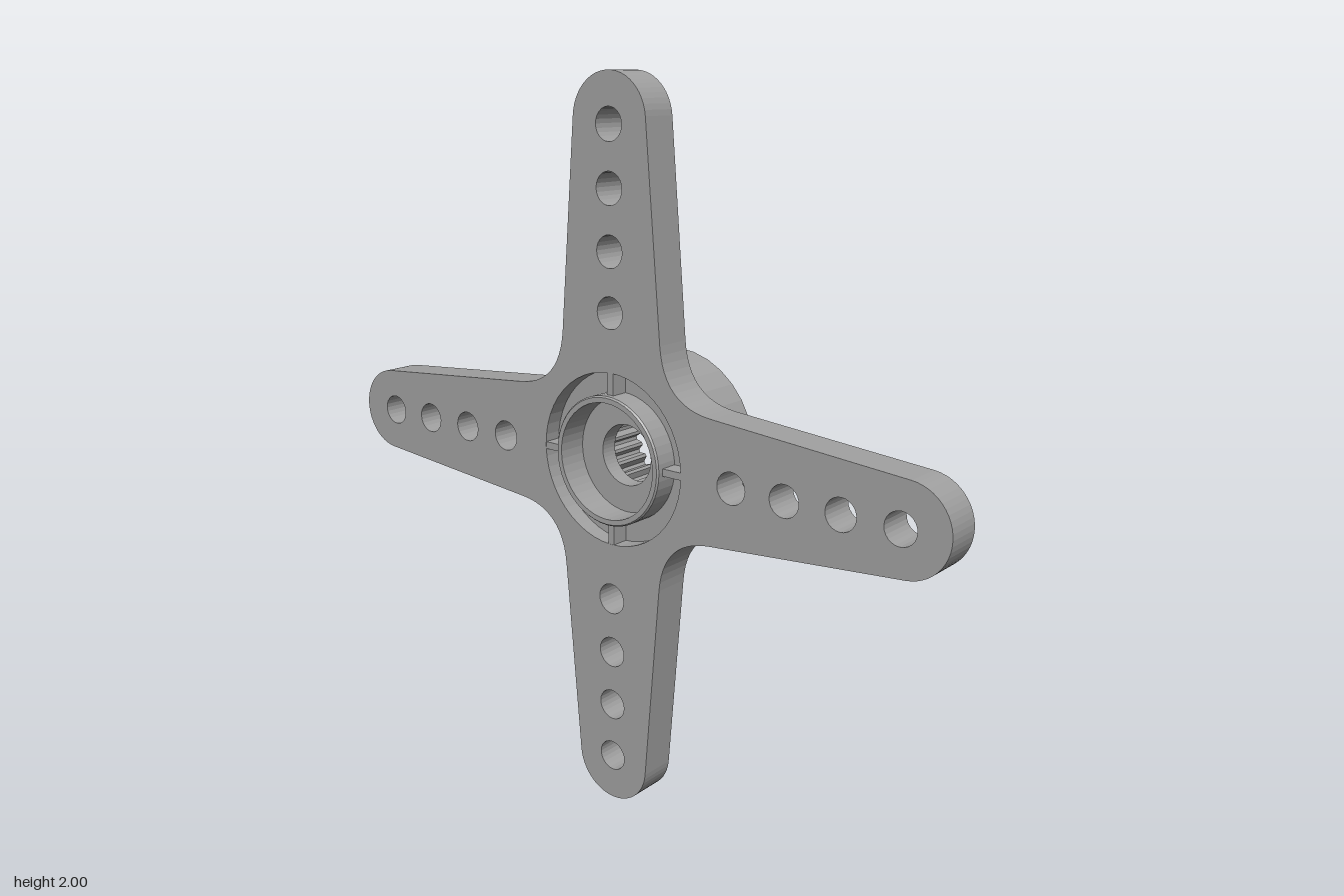
import * as THREE from 'three';

const ARMS = 4;

// Closed ring of points; radius may vary with the point index
function ring(count, radius) {
  return Array.from({ length: count }, (_, i) => {
    const a = (i / count) * Math.PI * 2;
    const r = typeof radius === 'function' ? radius(i) : radius;
    return new THREE.Vector2(Math.cos(a) * r, Math.sin(a) * r);
  });
}

function extrude(shape, zBack, zFront) {
  const g = new THREE.ExtrudeGeometry(shape, { depth: zFront - zBack, bevelEnabled: false, curveSegments: 8 });
  return g.translate(0, 0, zBack);
}

// Turned part about the z axis from [radius, z] pairs, with faceted normals
function turned(profile, segments) {
  const lathe = new THREE.LatheGeometry(profile.map(([r, z]) => new THREE.Vector2(r, z)), segments);
  const g = lathe.rotateX(Math.PI / 2).toNonIndexed();
  g.computeVertexNormals();
  return g;
}

// Outline of one arm, starting at its right root and ending at the next fillet
function armOutline() {
  const tip = 0.12, centre = 0.88, lean = 0.09;
  const arm = new THREE.Path();
  arm.moveTo(0.167, 0.33);
  arm.lineTo(tip * Math.cos(lean), centre + tip * Math.sin(lean));
  arm.absarc(0, centre, tip, lean, Math.PI - lean, false);
  arm.lineTo(-0.167, 0.33);
  arm.quadraticCurveTo(-0.18, 0.18, -0.33, 0.167);
  return arm.getPoints(12);
}

function plateShape() {
  const outline = [];
  const holes = [ring(48, 0.237)];
  const origin = new THREE.Vector2();
  for (let i = 0; i < ARMS; i++) {
    const turn = (i * Math.PI * 2) / ARMS;
    // drop the last point, which is the start of the next arm
    armOutline().slice(0, -1).forEach((p) => outline.push(p.rotateAround(origin, turn)));
    for (const d of [0.395, 0.553, 0.712, 0.87]) {
      const c = new THREE.Vector2(0, d).rotateAround(origin, turn);
      holes.push(ring(24, 0.043).map((p) => p.add(c)));
    }
  }
  const shape = new THREE.Shape(outline);
  holes.forEach((h) => shape.holes.push(new THREE.Path(h)));
  return shape;
}

export function createModel() {
  const model = new THREE.Group();
  const body = new THREE.Group();
  body.position.y = 1;
  model.add(body);
  const plastic = new THREE.MeshStandardMaterial({ color: 0xa0a0a0 });
  plastic.name = 'grey plastic';

  const add = (name, geometry) => {
    const mesh = new THREE.Mesh(geometry, plastic);
    mesh.name = name;
    body.add(mesh);
    return mesh;
  };

  // Four drilled arms in one plate
  add('armPlate', extrude(plateShape(), 0.03, 0.135));

  // Groove floor, raised collar, screw recess and centre bore
  add('collarAndScrewSeat', turned([
    [0.085, 0.02], [0.24, 0.02], [0.24, 0.085], [0.178, 0.085], [0.178, 0.15],
    [0.174, 0.155], [0.16, 0.155], [0.16, 0.07], [0.085, 0.07], [0.085, 0.02],
  ], 48));

  // Thin ribs bridging the groove
  for (let i = 0; i < ARMS; i++) {
    const a = (i * Math.PI * 2) / ARMS;
    const rib = add('grooveRib', new THREE.BoxGeometry(0.066, 0.02, 0.05));
    rib.position.set(Math.cos(a) * 0.207, Math.sin(a) * 0.207, 0.1095);
    rib.rotation.z = a;
  }

  // Rear hub with a splined socket
  const hub = new THREE.Shape(ring(32, 0.26));
  const teeth = 25;
  hub.holes.push(new THREE.Path(ring(teeth * 4, (i) => (i % 4 < 2 ? 0.155 : 0.138))));
  add('splinedHub', extrude(hub, -0.155, 0.021));

  // Cone joining hub and plate
  add('hubFlare', turned([[0.255, 0], [0.26, 0], [0.295, 0.031], [0.23, 0.031]], 32));

  return model;
}
